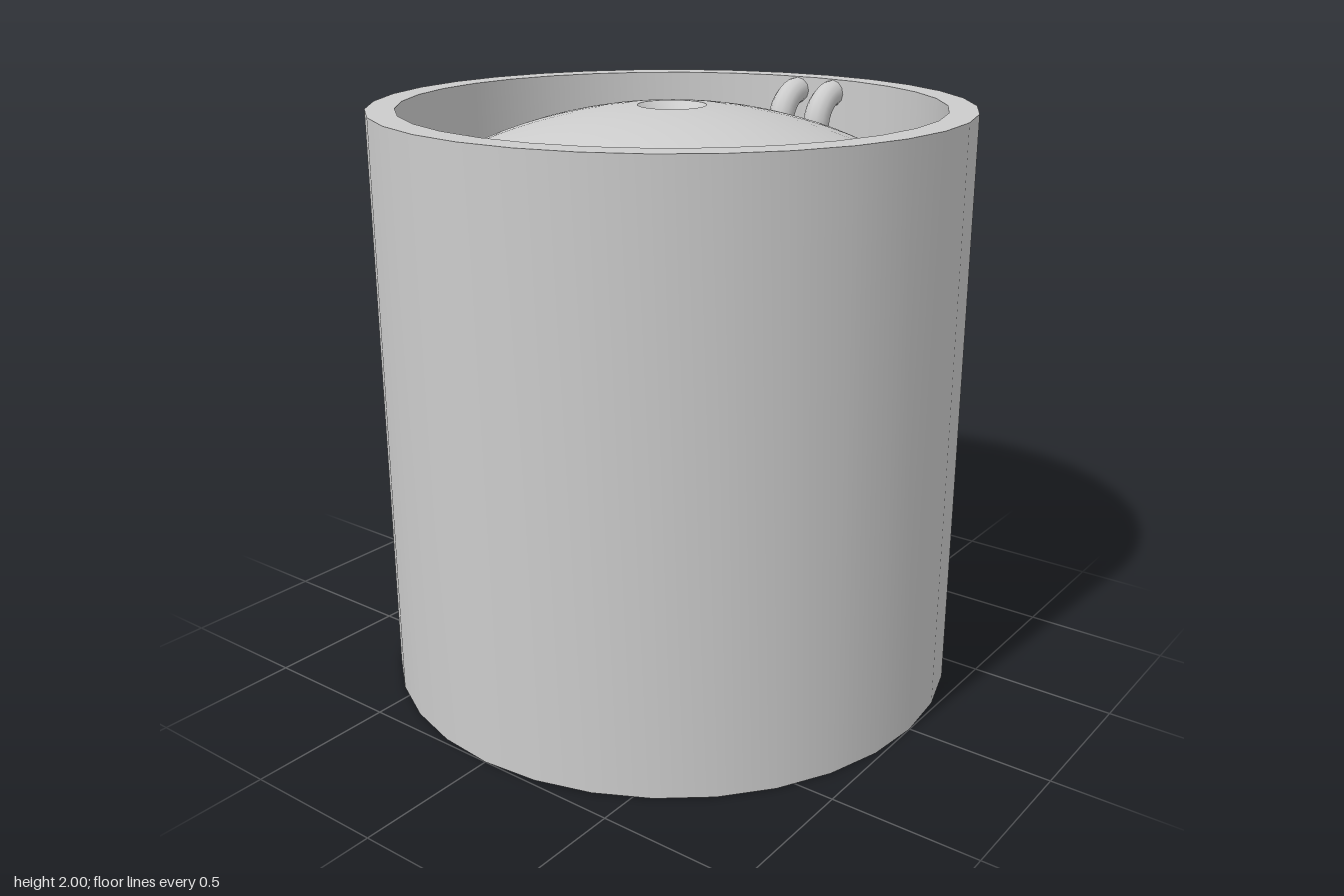
import * as THREE from 'three';
import { toCreasedNormals } from 'three/addons/utils/BufferGeometryUtils.js';

const SIDES = 32;
const OUTER = 1, INNER = 0.905, HEIGHT = 2;
const CROWN = 1.65, KNUCKLE = 0.22;      // radii of the dished head
const material = new THREE.MeshStandardMaterial({ color: 0xcccccc });

function lathe(name, points) {
  const geometry = new THREE.LatheGeometry(points.map(([r, y]) => new THREE.Vector2(r, y)), SIDES);
  const mesh = new THREE.Mesh(toCreasedNormals(geometry, 0.45), material);
  mesh.name = name;
  return mesh;
}

// Dished head: knuckle arc, crown arc, then a small flat-bottomed dimple
function headProfile() {
  const turn = Math.asin((INNER - KNUCKLE) / (CROWN - KNUCKLE));
  const crownY = HEIGHT - CROWN;
  const kneeY = crownY + (CROWN - KNUCKLE) * Math.cos(turn);
  const points = [];
  for (let i = 0; i <= 8; i++) {
    const a = THREE.MathUtils.lerp(Math.PI / 2, turn, i / 8);
    points.push([INNER - KNUCKLE + KNUCKLE * Math.sin(a), kneeY + KNUCKLE * Math.cos(a)]);
  }
  const rim = Math.asin(0.115 / CROWN);
  for (let i = 1; i <= 10; i++) {
    const a = THREE.MathUtils.lerp(turn, rim, i / 10);
    points.push([CROWN * Math.sin(a), crownY + CROWN * Math.cos(a)]);
  }
  points.push([0.075, HEIGHT - 0.04], [0, HEIGHT - 0.04]);
  return points;
}

// One end of the vessel: head plus a pair of lugs on each side
function createEnd(name) {
  const end = new THREE.Group();
  end.name = name;
  end.add(lathe('dishedHead', headProfile()));
  const lugGeometry = new THREE.TorusGeometry(0.12, 0.048, 12, 16, Math.PI);
  for (const side of [-1, 1]) {
    for (const z of [-0.078, 0.078]) {
      const lug = new THREE.Mesh(lugGeometry, material);
      lug.name = side > 0 ? 'leftLug' : 'rightLug';
      lug.rotation.z = side * Math.PI / 2;
      lug.position.set(side * INNER, 1.83, z);
      end.add(lug);
    }
  }
  return end;
}

export function createModel() {
  const model = new THREE.Group();
  model.name = 'vessel';

  // Thick-walled outer tube, open at both ends
  model.add(lathe('shell', [
    [OUTER, 0], [OUTER, HEIGHT], [INNER, HEIGHT], [INNER, 0], [OUTER, 0],
  ]));

  // The bottom end is the top end turned over
  const bottom = createEnd('bottomEnd');
  bottom.rotation.z = Math.PI;
  bottom.position.y = HEIGHT;
  model.add(createEnd('topEnd'), bottom);
  return model;
}
